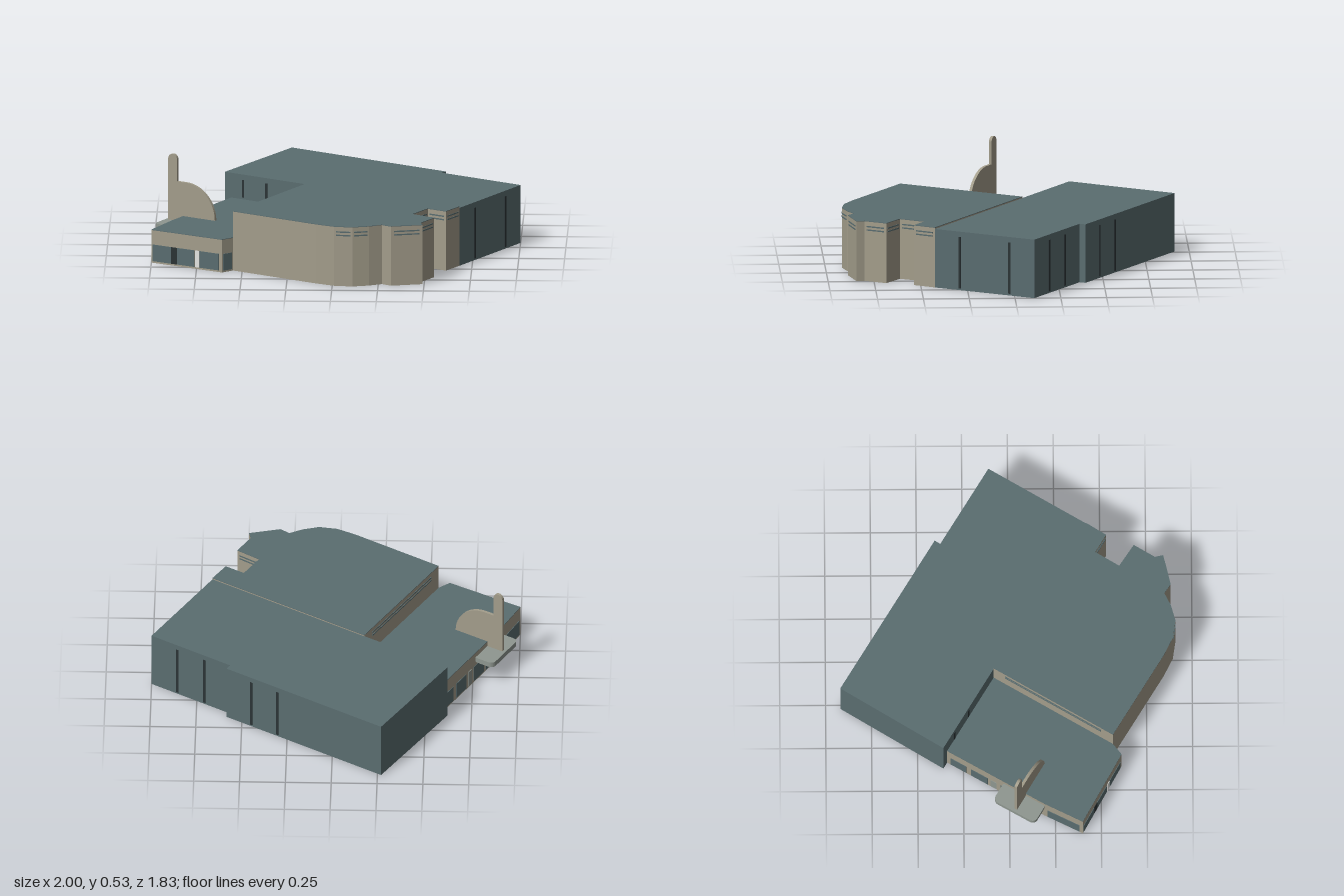
import * as THREE from 'three';

const mat = (name, color) => {
  const m = new THREE.MeshStandardMaterial({ color });
  m.name = name;
  return m;
};

export function createModel() {
  const teal = mat('teal cladding', 0x5a6d70);
  const tan = mat('tan wall', 0xa39d8b);
  const dark = mat('dark slot', 0x2b3335);
  const pale = mat('pale canopy', 0x8f9790);
  const white = mat('white door', 0xe6e6e2);
  const group = new THREE.Group();

  const add = (name, geometry, material) => {
    const m = new THREE.Mesh(geometry, material);
    m.name = name;
    group.add(m);
    return m;
  };

  // Upright prism over a plan of [x, z] corners
  const prism = (name, plan, y0, y1, material) => {
    const s = new THREE.Shape(plan.map(([x, z]) => new THREE.Vector2(x, -z)));
    const g = new THREE.ExtrudeGeometry(s, { depth: y1 - y0, bevelEnabled: false });
    g.rotateX(-Math.PI / 2).translate(0, y0, 0);
    return add(name, g, material);
  };

  // Thin plate on the wall from a to b, between fractions t0 and t1
  const plate = (name, a, b, t0, t1, y0, y1, material) => {
    const dx = b[0] - a[0], dz = b[1] - a[1], t = (t0 + t1) / 2;
    const g = new THREE.BoxGeometry(Math.hypot(dx, dz) * (t1 - t0), y1 - y0, 0.006);
    const m = add(name, g, material);
    m.position.set(a[0] + dx * t, (y0 + y1) / 2, a[1] + dz * t);
    m.rotation.y = -Math.atan2(dz, dx);
  };

  // Rear hall with a small step in its back wall
  const hall = [[-0.27, -0.92], [0.585, -0.4], [0.565, -0.37], [1, -0.105], [0.68, 0.425], [-0.62, -0.36]];
  prism('rearHall', hall, 0, 0.325, teal);

  // Front hall with a curved corner and a notch
  const front = [[-0.16, -0.085], [0.68, 0.425], [0.61, 0.535], [0.51, 0.475], [0.43, 0.605],
    [0.55, 0.685], [0.48, 0.8], [0.49, 0.845], [0.32, 0.885], [0.27, 0.85], [0.2, 0.885],
    [0.11, 0.91], [0.01, 0.895], [-0.09, 0.845], [-0.55, 0.565]];
  prism('frontHall', front, 0, 0.331, tan);
  prism('frontHallRoof', front, 0.331, 0.334, teal);

  // Low entrance wing
  const wing = [[-0.585, -0.34], [-0.16, -0.085], [-0.55, 0.565], [-0.61, 0.612], [-1, 0.398], [-0.895, 0.19]];
  prism('entranceWing', wing, 0, 0.183, tan);
  prism('entranceWingRoof', wing, 0.183, 0.186, teal);

  // Vertical slots in the rear hall walls
  const slots = [
    [hall[3], hall[4], 0.25, 0], [hall[3], hall[4], 0.75, 0],
    [hall[2], hall[3], 0.33, 0], [hall[2], hall[3], 0.67, 0],
    [hall[0], hall[1], 0.67, 0], [hall[0], hall[1], 0.84, 0],
    [hall[5], wing[1], 0.22, 0.186], [hall[5], wing[1], 0.5, 0.186],
  ];
  for (const [a, b, t, y] of slots) {
    const h = 0.007 / Math.hypot(b[0] - a[0], b[1] - a[1]);
    plate('wallSlot', a, b, t - h, t + h, y + 0.01, 0.295, dark);
  }

  // Paired stripes below the front hall roof
  const stripes = [[1, 2], [2, 3], [3, 4], [4, 5], [5, 6], [7, 8], [10, 11], [11, 12], [14, 0]];
  for (const [i, j] of stripes)
    for (const y of [0.281, 0.3])
      plate('stripe', front[i], front[j], 0.1, 0.9, y, y + 0.007, teal);

  // Windows and doors of the wing
  const windows = [
    [4, 3, 0.02, 0.28], [4, 3, 0.37, 0.61], [4, 3, 0.69, 0.96],
    [3, 2, 0.12, 0.88], [5, 4, 0.08, 0.92],
    [0, 5, 0.04, 0.2], [0, 5, 0.25, 0.42], [0, 5, 0.55, 0.72], [0, 5, 0.75, 0.95],
  ];
  for (const [i, j, t0, t1] of windows) plate('window', wing[i], wing[j], t0, t1, 0.01, 0.103, teal);
  plate('darkDoor', wing[4], wing[3], 0.285, 0.365, 0.01, 0.103, dark);
  plate('whiteDoor', wing[4], wing[3], 0.62, 0.68, 0.01, 0.103, white);
  plate('entranceDoor', wing[0], wing[5], 0.45, 0.51, 0.01, 0.103, pale);

  // Rounded canopy over the entrance
  const w = 0.128, l = 0.262, r = 0.03;
  const c = new THREE.Shape();
  c.absarc(l / 2 - r, w / 2 - r, r, 0, Math.PI / 2);
  c.absarc(-l / 2 + r, w / 2 - r, r, Math.PI / 2, Math.PI);
  c.absarc(-l / 2 + r, -w / 2 + r, r, Math.PI, Math.PI * 1.5);
  c.absarc(l / 2 - r, -w / 2 + r, r, Math.PI * 1.5, Math.PI * 2);
  const canopyGeo = new THREE.ExtrudeGeometry(c, { depth: 0.03, bevelEnabled: false, curveSegments: 6 });
  canopyGeo.rotateX(-Math.PI / 2);
  const canopy = add('canopy', canopyGeo, pale);
  canopy.position.set(-0.872, 0.125, 0.055);
  canopy.rotation.y = Math.atan2(0.53, 0.31);

  // Upright fin: round-topped pylon with a quarter-round wing
  const f = new THREE.Shape();
  f.moveTo(0, 0.13);
  f.lineTo(0.3, 0.13);
  f.lineTo(0.3, 0.185);
  f.absarc(0.11, 0.185, 0.19, 0, Math.PI / 2);
  f.lineTo(0.056, 0.375);
  f.absarc(0.028, 0.498, 0.028, 0, Math.PI);
  const finGeo = new THREE.ExtrudeGeometry(f, { depth: 0.016, bevelEnabled: false, curveSegments: 14 });
  finGeo.translate(0, 0, -0.008);
  const fin = add('signFin', finGeo, tan);
  fin.position.set(-0.914, 0, 0.033);
  fin.rotation.y = -Math.atan2(0.16, 0.27);

  return group;
}
